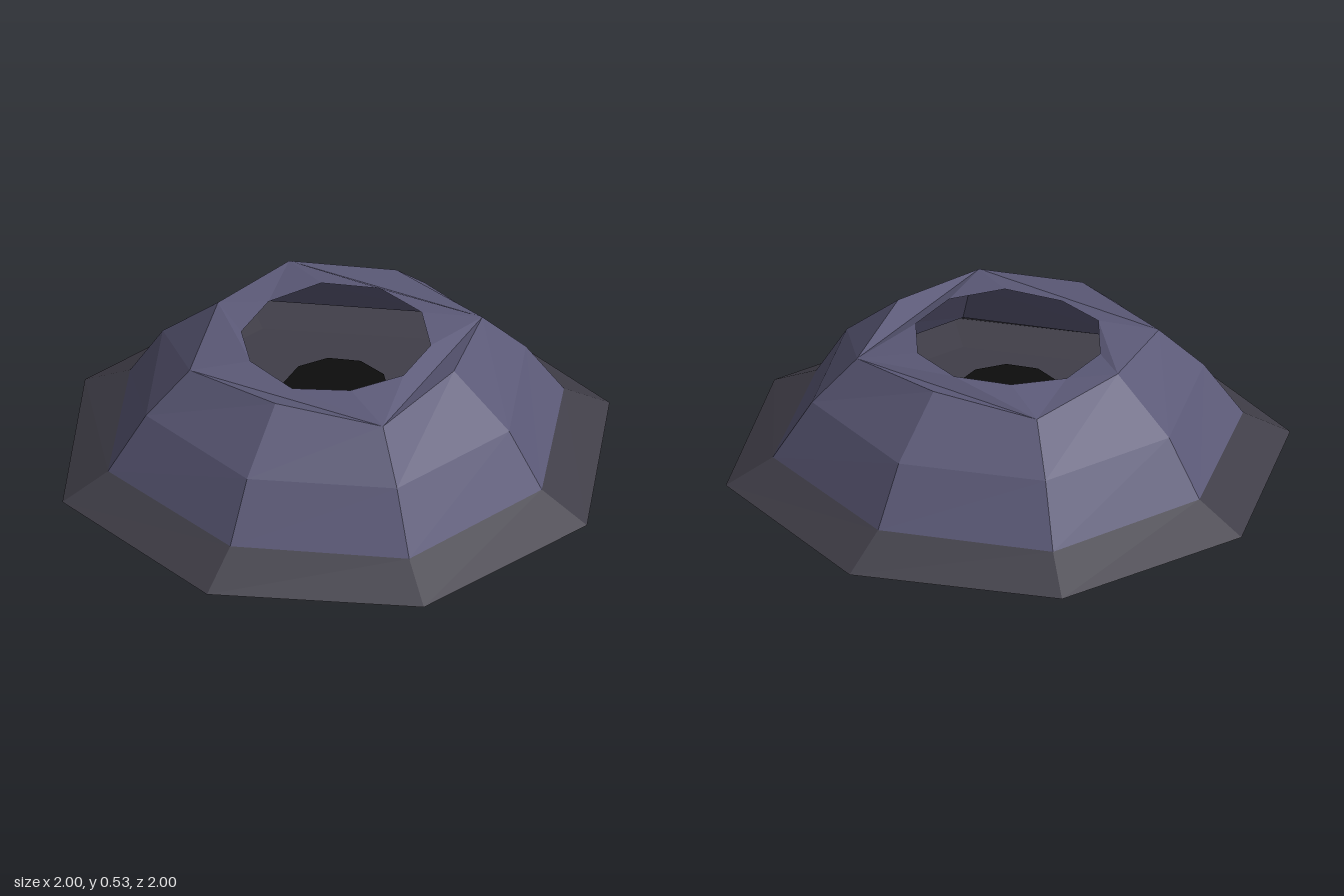
import * as THREE from 'three';

// Eight corners: even ones lie on the axes at radius a, odd ones at (±d, ±d)
function ring(a, d, y, yDiagonal = y) {
  return Array.from({ length: 8 }, (_, i) => {
    const t = (i * Math.PI) / 4;
    const r = i % 2 ? d * Math.SQRT2 : a;
    return [r * Math.sin(t), i % 2 ? yDiagonal : y, r * Math.cos(t)];
  });
}

// Flat-shaded skin between successive rings, listed from bottom to top
function loft(rings) {
  const pos = [];
  for (let k = 0; k < rings.length - 1; k++) {
    for (let i = 0; i < 8; i++) {
      const j = (i + 1) % 8;
      const [a, b, c, d] = [rings[k][i], rings[k][j], rings[k + 1][j], rings[k + 1][i]];
      pos.push(...a, ...b, ...c, ...a, ...c, ...d);
    }
  }
  const g = new THREE.BufferGeometry();
  g.setAttribute('position', new THREE.Float32BufferAttribute(pos, 3));
  g.computeVertexNormals();
  return g;
}

function material(name, color) {
  return new THREE.MeshStandardMaterial({ name, color, flatShading: true, side: THREE.DoubleSide });
}

export function createModel() {
  const group = new THREE.Group();
  const stone = material('purple grey', 0x5c5a78);
  const dark = material('dark grey', 0x403e48);
  const black = material('black', 0x0d0d0d);

  const add = (name, geometry, mat) => {
    const mesh = new THREE.Mesh(geometry, mat);
    mesh.name = name;
    group.add(mesh);
    return mesh;
  };

  // Hollow base: shallow bowl underneath, sharp outer edge, sloping skirt
  const skirtTop = ring(0.82, 0.6, 0.13);
  add('base', loft([
    ring(0, 0, 0),
    ring(0.83, 0.6, 0.01),
    ring(1, 0.72, 0.033),
    skirtTop,
  ]), dark);

  // Hollow dome walls
  const rim = ring(0.47, 0.385, 0.53, 0.5);
  add('domeWall', loft([skirtTop, ring(0.69, 0.5, 0.34), rim]), stone);

  // Top plate with a ten-sided opening
  const shape = new THREE.Shape(rim.map(([x, , z]) => new THREE.Vector2(x, -z)));
  const hole = Array.from({ length: 10 }, (_, i) => {
    const t = (i * Math.PI) / 5;
    return new THREE.Vector2(0.34 * Math.sin(t), 0.34 * Math.cos(t));
  });
  shape.holes.push(new THREE.Path(hole));
  const top = new THREE.ShapeGeometry(shape).rotateX(-Math.PI / 2).toNonIndexed();
  const p = top.attributes.position;
  for (let i = 0; i < p.count; i++) {
    const x = p.getX(i), z = p.getZ(i), r = Math.hypot(x, z);
    let y = 0.53;
    if (r > 0.5) y = 0.5; // diagonal corners sit lower
    else if (r < 0.4 && (x < -0.3 || z > 0.3)) y = 0.515; // worn side of the opening
    p.setY(i, y);
  }
  top.computeVertexNormals();
  add('topPlate', top, stone);

  // Dark vent inside the opening
  const vent = add('vent', new THREE.CylinderGeometry(0.19, 0.19, 0.01, 10), black);
  vent.position.y = 0.305;

  return group;
}
